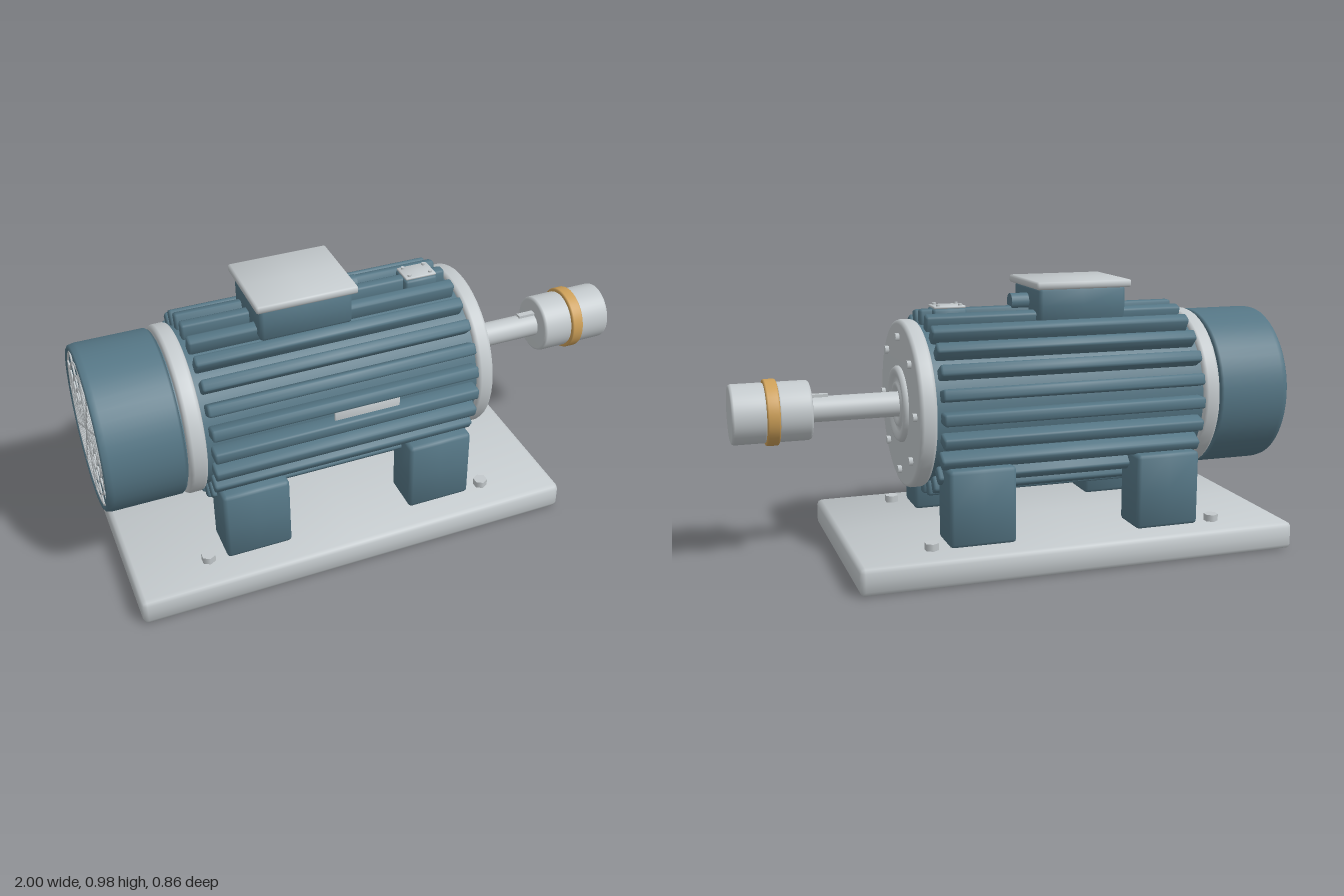
import * as THREE from 'three';

const AXIS_Y = 0.55;

export function createModel() {
  const paint = new THREE.MeshStandardMaterial({ name: 'bluePaint', color: 0x557685 });
  const steel = new THREE.MeshStandardMaterial({ name: 'paleSteel', color: 0xc3c9cc });
  const brass = new THREE.MeshStandardMaterial({ name: 'brass', color: 0xcc9f58 });

  const model = new THREE.Group();
  model.name = 'electricMotor';
  const motor = new THREE.Group(); // everything centred on the shaft axis
  motor.name = 'motor';
  motor.position.y = AXIS_Y;
  model.add(motor);

  const add = (name, geometry, material, parent = model, x = 0, y = 0, z = 0) => {
    const mesh = new THREE.Mesh(geometry, material);
    mesh.name = name;
    mesh.position.set(x, y, z);
    parent.add(mesh);
    return mesh;
  };

  // Box with rounded edges and soft normals that lean outward at the corners
  const softBox = (w, h, d, bevel) => {
    const g = new THREE.BoxGeometry(w, h, d, 4, 4, 4);
    const p = g.attributes.position, n = g.attributes.normal;
    const half = [w / 2, h / 2, d / 2];
    for (let i = 0; i < p.count; i++) {
      const inner = [], offset = [], normal = [];
      half.forEach((s, k) => {
        const v = p.getComponent(i, k), side = Math.abs(v) < 1e-5 ? 0 : Math.sign(v);
        const outer = Math.abs(v) > s - 1e-5;
        inner[k] = side * (s - bevel);
        offset[k] = outer ? side : 0;
        normal[k] = side * (outer ? 1 : 0.3);
      });
      const dir = new THREE.Vector3(...offset).normalize().multiplyScalar(bevel);
      const nor = new THREE.Vector3(...normal).normalize();
      p.setXYZ(i, inner[0] + dir.x, inner[1] + dir.y, inner[2] + dir.z);
      n.setXYZ(i, nor.x, nor.y, nor.z);
    }
    return g;
  };

  // Box given by its extents
  const block = (name, material, x0, x1, y0, y1, z0, z1, bevel) =>
    add(name, softBox(x1 - x0, y1 - y0, z1 - z0, bevel), material, model,
      (x0 + x1) / 2, (y0 + y1) / 2, (z0 + z1) / 2);

  // Turned part along x from [x, radius] pairs, listed by increasing x
  const turned = (name, profile, material, segments = 48) => {
    const g = new THREE.LatheGeometry(profile.map(([x, r]) => new THREE.Vector2(r, x)), segments);
    return add(name, g.rotateZ(-Math.PI / 2), material, motor);
  };
  const disc = (name, x0, x1, r, b, material) => turned(name,
    [[x0, 0], [x0, r - b], [x0 + b * 0.3, r - b * 0.3], [x0 + b, r],
      [x1 - b, r], [x1 - b * 0.3, r - b * 0.3], [x1, r - b], [x1, 0]], material);

  const hex = (r, h) => new THREE.CylinderGeometry(r, r, h, 6).toNonIndexed();

  // Base plate, feet and anchor bolts
  block('basePlate', steel, -0.96, 0.645, 0, 0.1, -0.43, 0.43, 0.018);
  for (const side of [-1, 1]) {
    for (const [x0, x1, boltX] of [[-0.625, -0.385, -0.69], [0.07, 0.31, 0.372]]) {
      const z = side * 0.248;
      block('foot', paint, x0, x1, 0.098, 0.372, z - 0.078, z + 0.078, 0.014);
      add('anchorBolt', hex(0.026, 0.026), steel, model, boltX, 0.112, side * 0.306);
    }
  }

  // Finned housing
  turned('housing', [[-0.67, 0], [-0.67, 0.275], [-0.66, 0.283], [0.34, 0.283], [0.35, 0.275], [0.35, 0]], paint);
  const fin = softBox(0.968, 0.07, 0.042, 0.008);
  for (let i = 0; i < 24; i++) {
    const a = i * Math.PI / 12;
    const mesh = add('coolingFin', fin, paint, motor, -0.157, Math.cos(a) * 0.3, Math.sin(a) * 0.3);
    mesh.rotation.x = a;
  }

  // End shields with their bolt circles
  disc('frontEndShield', 0.34, 0.402, 0.3, 0.014, steel);
  disc('rearEndShield', -0.718, -0.655, 0.3, 0.014, steel);
  for (const x of [0.407, -0.721]) {
    for (let i = 0; i < 8; i++) {
      const a = i * Math.PI / 4;
      const bolt = add('shieldBolt', hex(0.015, 0.018), steel, motor, x, Math.cos(a) * 0.24, Math.sin(a) * 0.24);
      bolt.rotation.z = Math.PI / 2;
    }
  }

  // Bearing cap with a recessed centre
  turned('bearingCap', [[0.395, 0.137], [0.408, 0.137], [0.418, 0.13], [0.42, 0.122],
    [0.418, 0.108], [0.41, 0.1], [0.406, 0.085], [0.416, 0.078], [0.418, 0.066], [0.41, 0.058], [0.404, 0.04]], steel);

  // Fan cover with a spoked guard on its end
  turned('fanCover', [[-0.99, 0], [-0.99, 0.268], [-0.998, 0.274], [-1, 0.282], [-0.994, 0.29],
    [-0.975, 0.294], [-0.735, 0.294], [-0.725, 0.287], [-0.725, 0]], paint);
  turned('coverNeck', [[-0.74, 0.27], [-0.7, 0.27]], paint);
  for (const r of [0.05, 0.095, 0.14, 0.185, 0.23, 0.268]) {
    const ring = add('guardRing', new THREE.TorusGeometry(r, 0.004, 6, 48), steel, motor, -0.992);
    ring.rotation.y = Math.PI / 2;
  }
  for (let i = 0; i < 6; i++) {
    const spoke = add('guardSpoke', new THREE.CylinderGeometry(0.004, 0.004, 0.54, 6), steel, motor, -0.993);
    spoke.rotation.x = i * Math.PI / 6;
  }

  // Shaft, key and coupling
  disc('shaft', 0.38, 0.76, 0.045, 0.005, steel);
  add('shaftKey', new THREE.BoxGeometry(0.09, 0.02, 0.022), steel, motor, 0.705, 0.044);
  disc('couplingInnerHub', 0.725, 0.843, 0.105, 0.01, steel);
  disc('couplingOuterHub', 0.878, 1, 0.105, 0.01, steel);
  disc('couplingRing', 0.838, 0.883, 0.116, 0.006, brass);

  // Terminal box with lid and cable gland
  block('terminalBox', paint, -0.405, -0.075, 0.832, 0.96, -0.14, 0.14, 0.014);
  block('terminalLid', steel, -0.42, -0.06, 0.954, 0.982, -0.157, 0.157, 0.008);
  const gland = add('cableGland', new THREE.CylinderGeometry(0.03, 0.03, 0.08, 20), paint, model, -0.05, 0.9);
  gland.rotation.z = Math.PI / 2;

  // Top pad with its plate and screws
  block('topPad', paint, 0.165, 0.285, 0.82, 0.887, -0.048, 0.048, 0.008);
  block('topPlate', steel, 0.167, 0.283, 0.888, 0.897, -0.042, 0.042, 0.003);
  for (const x of [0.185, 0.265]) {
    for (const z of [-0.028, 0.028]) {
      add('plateScrew', new THREE.CylinderGeometry(0.007, 0.007, 0.01, 10), steel, model, x, 0.899, z);
    }
  }

  // Rating plate between the side fins
  block('ratingPlate', steel, -0.21, 0.03, 0.53, 0.612, 0.3, 0.309, 0.002);

  return model;
}
